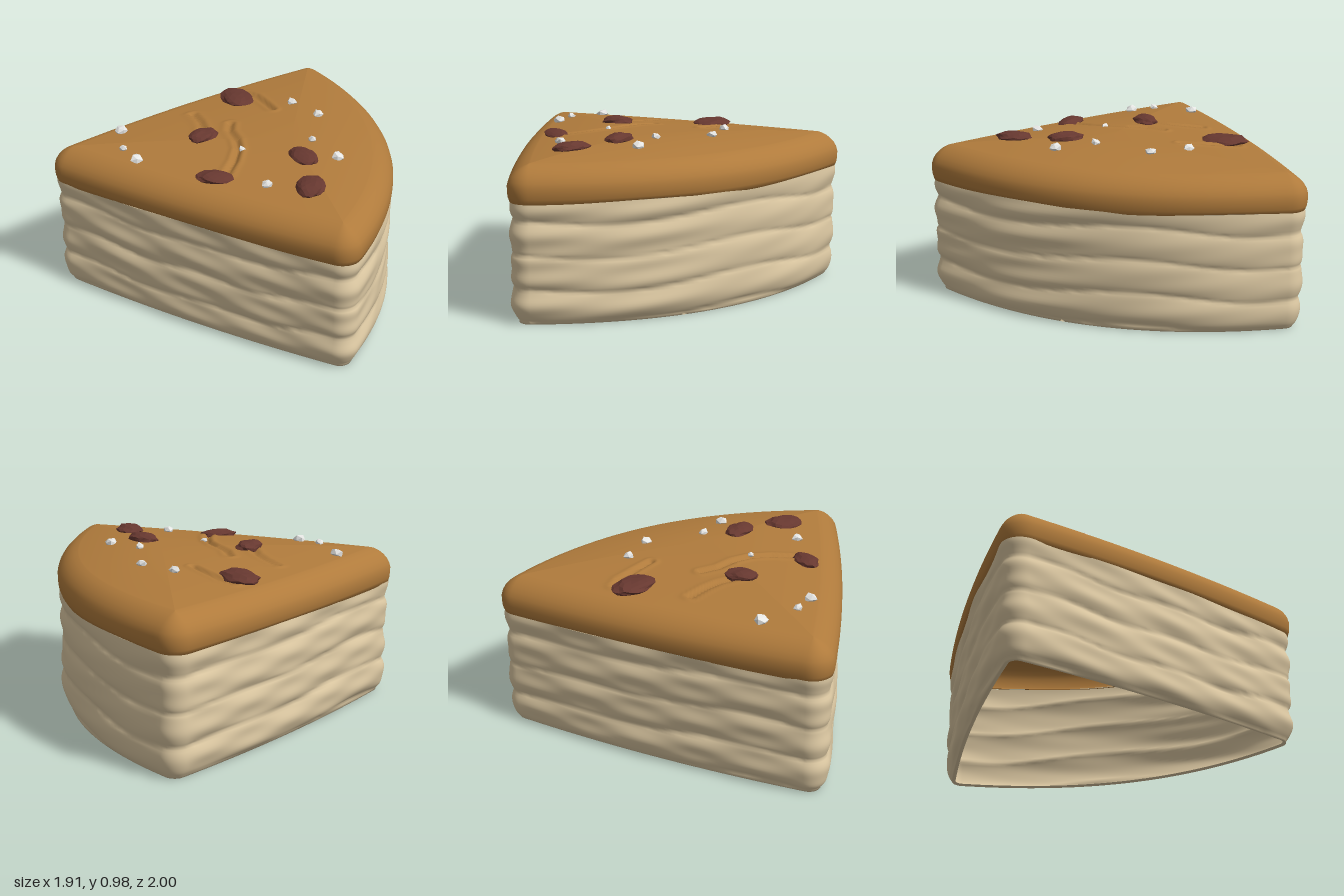
import * as THREE from 'three';

const flat = (name, color, extra = {}) =>
  Object.assign(new THREE.MeshStandardMaterial({ color, ...extra }), { name });

// Rounded wedge outline: core points, each with an outward normal
const RADIUS = 0.12;
const CORNERS = [[-0.77, -0.88], [0.835, 0.27], [-0.82, 0.88]];
const BULGES = [0.278, 0.035, 0.04];
function makeOutline(edgeSteps = 70, fanSteps = 10) {
  const edges = CORNERS.map((p, i) => {
    const a = new THREE.Vector2(...p), b = new THREE.Vector2(...CORNERS[(i + 1) % 3]);
    const d = b.clone().sub(a).normalize();
    const mid = a.clone().add(b).multiplyScalar(0.5)
      .add(new THREE.Vector2(d.y, -d.x).multiplyScalar(2 * BULGES[i]));
    return new THREE.QuadraticBezierCurve(a, mid, b);
  });
  const angleAt = (edge, t) => {
    const d = edge.getTangent(t);
    return Math.atan2(-d.x, d.y);
  };
  const points = [];
  const add = (p, a) => points.push({ x: p.x, z: p.y, nx: Math.cos(a), nz: Math.sin(a) });
  edges.forEach((edge, i) => {
    for (let k = 0; k <= edgeSteps; k++) add(edge.getPoint(k / edgeSteps), angleAt(edge, k / edgeSteps));
    const from = angleAt(edge, 1);
    let turn = angleAt(edges[(i + 1) % 3], 0) - from;
    while (turn < 0) turn += 2 * Math.PI;
    for (let k = 1; k < fanSteps; k++) add(edge.getPoint(1), from + turn * k / fanSteps);
  });
  return points;
}
const outline = makeOutline();

// Closed loops of cross-sections joined into one smooth skin
function loft(rows) {
  const n = rows[0].length, index = [];
  for (let j = 0; j < rows.length - 1; j++) {
    for (let i = 0; i < n; i++) {
      const k = (i + 1) % n;
      const a = j * n + i, b = j * n + k, c = a + n, d = b + n;
      index.push(a, c, d, a, d, b);
    }
  }
  const geometry = new THREE.BufferGeometry();
  geometry.setAttribute('position', new THREE.Float32BufferAttribute(rows.flat(2), 3));
  geometry.setIndex(index);
  geometry.computeVertexNormals();
  return geometry;
}
const inset = (p, d, y) => [p.x + p.nx * (RADIUS - d), y, p.z + p.nz * (RADIUS - d)];

// Uneven layered sides of the sponge
function ripple(x, y, z) {
  const shift = 0.022 * Math.sin(3.1 * x + 2.3 * z) + 0.012 * Math.sin(7.3 * x - 5.1 * z + 1);
  const layer = Math.abs(Math.sin(Math.PI * (y + shift - 0.01) / 0.19));
  return 0.034 - 0.022 * Math.sqrt(layer)
    + 0.005 * Math.sin(5 * x + 4 * z + 31 * y) * Math.sin(3 * x - 6 * z - 17 * y)
    + 0.003 * Math.sin(9 * x - 8 * z + 47 * y);
}
function spongeGeometry() {
  const rows = [[0.075, 0.012], [0.055, 0.004]].map(([d, y]) => outline.map(p => inset(p, d, y)));
  for (let j = 0; j <= 48; j++) {
    const y = 0.015 + 0.68 * j / 48;
    const curl = 0.028 * Math.exp(-j / 2.5);
    rows.push(outline.map(p => inset(p, ripple(p.x, y, p.z) + curl, y)));
  }
  return loft(rows);
}

// Domed top and its cracks
const APEX = { x: 0, z: -0.08 };
const CRACKS = [
  [[-0.72, -0.32], [-0.64, -0.33], [-0.5, -0.295], [-0.39, -0.265]],
  [[-0.68, 0.12], [-0.56, 0.16], [-0.48, 0.2], [-0.4, 0.27]],
  [[-0.4, 0.05], [-0.32, 0.12], [-0.2, 0.165], [-0.11, 0.22], [-0.02, 0.32], [0.05, 0.43]],
];
function crackDepth(x, z) {
  let best = 1;
  for (const path of CRACKS) {
    for (let i = 0; i < path.length - 1; i++) {
      const [ax, az] = path[i], [bx, bz] = path[i + 1];
      const dx = bx - ax, dz = bz - az;
      const t = THREE.MathUtils.clamp(((x - ax) * dx + (z - az) * dz) / (dx * dx + dz * dz), 0, 1);
      best = Math.min(best, Math.hypot(x - ax - t * dx, z - az - t * dz));
    }
  }
  return 0.02 * Math.exp(-((best / 0.014) ** 2)) - 0.006 * Math.exp(-(((best - 0.035) / 0.014) ** 2));
}
const domeHeight = t => 0.945 - 0.052 * t * t;
function topY(x, z) {
  const angle = Math.atan2(z - APEX.z, x - APEX.x);
  let error = Infinity, reach = 1;
  for (const p of outline) {
    const a = Math.atan2(p.z - APEX.z, p.x - APEX.x) - angle;
    const e = Math.abs(Math.atan2(Math.sin(a), Math.cos(a)));
    if (e < error) {
      error = e;
      reach = Math.hypot(p.x - APEX.x, p.z - APEX.z);
    }
  }
  return domeHeight(Math.hypot(x - APEX.x, z - APEX.z) / reach);
}
function icingGeometry() {
  const rim = [[0.03, 0.688], [0.012, 0.692], [0.003, 0.715], [0, 0.745], [0, 0.775], [0.008, 0.803],
    [0.024, 0.83], [0.045, 0.852], [0.068, 0.87], [0.094, 0.884]];
  const rows = rim.map(([d, y]) => outline.map(p =>
    inset(p, d, y + (y < 0.7 ? 0.006 * Math.sin(5 * p.x + 3 * p.z) : 0))));
  for (let j = 80; j >= 0; j--) {
    const t = j / 80;
    rows.push(outline.map(p => {
      const x = APEX.x + (p.x - APEX.x) * t, z = APEX.z + (p.z - APEX.z) * t;
      return [x, domeHeight(t) - crackDepth(x, z), z];
    }));
  }
  return loft(rows);
}

// Irregular faceted lump
function lumpGeometry(detail, seed, amount) {
  const geometry = new THREE.IcosahedronGeometry(1, detail);
  const pos = geometry.attributes.position, v = new THREE.Vector3();
  for (let i = 0; i < pos.count; i++) {
    v.fromBufferAttribute(pos, i);
    const r = 1 + amount * Math.sin(3.7 * v.x + 5.3 * v.y + 4.1 * v.z + seed * 2.4);
    pos.setXYZ(i, v.x * r, v.y * r, v.z * r);
  }
  geometry.computeVertexNormals();
  return geometry;
}

export function createModel() {
  const group = new THREE.Group();
  const cream = flat('cream sponge', 0xdcc8a2, { side: THREE.DoubleSide });
  const caramel = flat('caramel icing', 0xb07b3c, { side: THREE.DoubleSide });
  const nutBrown = flat('nut brown', 0x673830, { flatShading: true });
  const white = flat('sugar white', 0xe6e6e4, { flatShading: true });
  const add = (name, geometry, material) => {
    const mesh = new THREE.Mesh(geometry, material);
    mesh.name = name;
    group.add(mesh);
    return mesh;
  };
  add('sponge', spongeGeometry(), cream);
  add('icing', icingGeometry(), caramel);

  // Nuts: x, z, half length, half width, half height, turn
  [[-0.675, -0.22, 0.138, 0.095, 0.036, -0.3], [0.215, 0.01, 0.105, 0.07, 0.034, -0.15],
    [0.478, 0.185, 0.112, 0.08, 0.036, -0.8], [-0.365, 0.28, 0.095, 0.068, 0.036, -1.45],
    [0.035, 0.505, 0.105, 0.066, 0.03, 0.75]].forEach(([x, z, l, w, h, turn], i) => {
    const nut = add('nut', lumpGeometry(2, i, 0.08), nutBrown);
    nut.position.set(x, topY(x, z) + 0.004, z);
    nut.scale.set(l, h, w);
    nut.rotation.y = turn;
  });

  // Sugar grains: x, z, radius
  [[-0.38, -0.41, 0.031], [-0.15, -0.42, 0.03], [0.09, -0.165, 0.03], [0.325, -0.155, 0.034],
    [0.3, 0.345, 0.033], [-0.085, 0.215, 0.021], [-0.78, 0.575, 0.035], [-0.575, 0.7, 0.029],
    [-0.425, 0.71, 0.036]].forEach(([x, z, r], i) => {
    const grain = add('sugarGrain', lumpGeometry(0, i, 0.2), white);
    grain.position.set(x, topY(x, z) + r * 0.25, z);
    grain.scale.set(r, r * 0.8, r);
    grain.rotation.y = i * 1.3;
  });
  return group;
}
